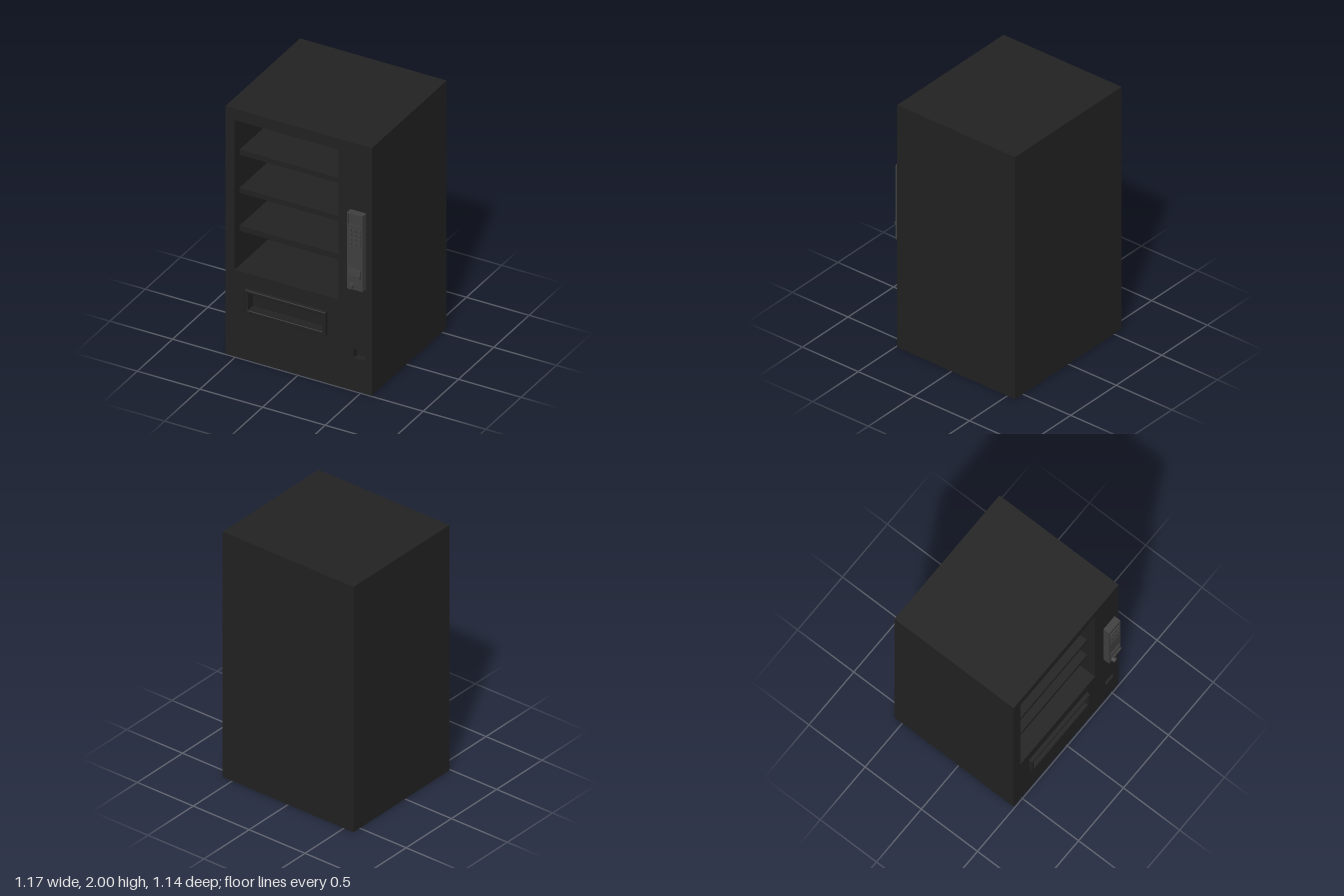
import * as THREE from 'three';

const dark = new THREE.MeshStandardMaterial({ color: 0x222222 });
const grey = new THREE.MeshStandardMaterial({ color: 0x404040 });

// Rectangle bounds are [x0, x1, y0, y1]
function trace(path, [x0, x1, y0, y1]) {
  path.moveTo(x0, y0);
  path.lineTo(x1, y0);
  path.lineTo(x1, y1);
  path.lineTo(x0, y1);
  path.closePath();
  return path;
}

function named(name, geometry, material) {
  const mesh = new THREE.Mesh(geometry, material);
  mesh.name = name;
  return mesh;
}

function block(name, [x0, x1, y0, y1], z0, z1, material) {
  const mesh = named(name, new THREE.BoxGeometry(x1 - x0, y1 - y0, z1 - z0), material);
  mesh.position.set((x0 + x1) / 2, (y0 + y1) / 2, (z0 + z1) / 2);
  return mesh;
}

// Plate with rectangular openings, between two depths
function plate(name, outer, holes, z0, z1, material, bevel = 0) {
  const shape = trace(new THREE.Shape(), outer);
  for (const h of holes) shape.holes.push(trace(new THREE.Path(), h));
  const geometry = new THREE.ExtrudeGeometry(shape, {
    depth: z1 - z0 - bevel, bevelEnabled: bevel > 0, bevelSize: bevel,
    bevelThickness: bevel, bevelOffset: -bevel, bevelSegments: 1,
  });
  const mesh = named(name, geometry, material);
  mesh.position.z = z0;
  return mesh;
}

export function createModel() {
  const model = new THREE.Group();
  model.name = 'vendingMachine';

  const body = [-0.585, 0.585, 0, 2];
  const display = [-0.51, 0.32, 0.7, 1.91];
  const chute = [-0.39, 0.205, 0.42, 0.555];
  const coinReturn = [0.44, 0.53, 0.265, 0.34];

  // Cabinet: solid rear, hollow display section, front with every opening
  const cabinet = new THREE.Group();
  cabinet.name = 'cabinet';
  cabinet.add(
    block('cabinetRear', body, -0.57, 0.02, dark),
    plate('displayWalls', body, [display], 0.02, 0.44, dark),
    plate('frontPanel', body, [display, chute, coinReturn], 0.44, 0.49, dark),
  );
  model.add(cabinet);

  // Shelves, set back from the opening
  for (const top of [1.02, 1.327, 1.635])
    model.add(block('shelf', [-0.51, 0.32, top - 0.042, top], 0.02, 0.42, dark));

  // Delivery chute
  model.add(
    plate('chuteFrame', [-0.415, 0.23, 0.39, 0.58], [chute], 0.49, 0.52, dark, 0.004),
    block('chuteFlap', [-0.385, 0.2, 0.425, 0.55], 0.435, 0.45, dark),
  );

  // Payment panel with a sunken screen
  const panel = new THREE.Group();
  panel.name = 'paymentPanel';
  const screen = [0.425, 0.53, 1.37, 1.45];
  panel.add(
    plate('panelPlate', [0.415, 0.54, 0.85, 1.46], [screen], 0.49, 0.542, grey),
    block('screen', screen, 0.49, 0.532, grey),
  );

  // Keypad
  for (let row = 0; row < 4; row++)
    for (let col = 0; col < 3; col++) {
      const x = 0.443 + col * 0.035;
      const y = 1.328 - row * 0.036;
      panel.add(block('key', [x - 0.014, x + 0.014, y - 0.013, y + 0.013], 0.535, 0.549, grey));
    }

  // Note slot: wedge profile swept across the panel, with a lip
  const wedge = new THREE.Shape([
    [0.535, 0.955], [0.553, 0.955], [0.556, 0.98], [0.549, 1.02], [0.535, 1.02],
  ].map(([z, y]) => new THREE.Vector2(-z, y)));
  const slot = named('noteSlot', new THREE.ExtrudeGeometry(wedge, { depth: 0.096, bevelEnabled: false }), grey);
  slot.rotation.y = Math.PI / 2;
  slot.position.x = 0.43;
  // the profile stores -z, so a quarter turn puts it on +z
  panel.add(slot, block('noteLip', [0.433, 0.523, 0.957, 0.977], 0.545, 0.565, grey));

  // Round coin button
  const button = named('coinButton', new THREE.CylinderGeometry(0.02, 0.02, 0.035, 24), grey);
  button.rotation.x = Math.PI / 2;
  button.position.set(0.453, 0.883, 0.5525);
  panel.add(button);
  model.add(panel);

  return model;
}
